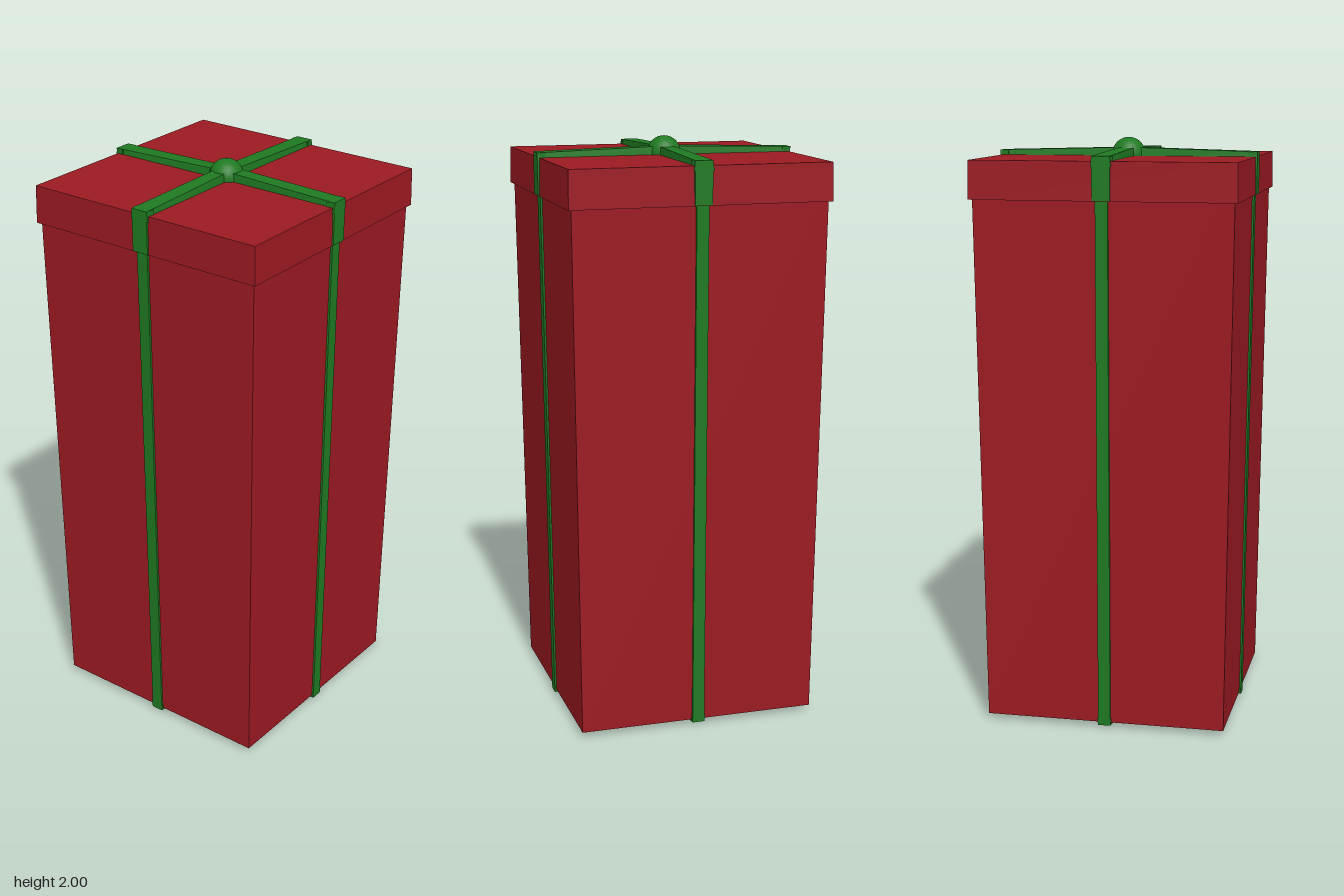
import * as THREE from 'three';

const red = new THREE.MeshStandardMaterial({ color: 0x9c1a22, flatShading: true });
const green = new THREE.MeshStandardMaterial({ color: 0x1f7a22, flatShading: true });
const knotGreen = new THREE.MeshStandardMaterial({ color: 0x1f7a22 });

// Box whose corners are placed by a rule; the signs sx, sy, sz are -1 or 1
function block(name, material, place) {
  const geometry = new THREE.BoxGeometry(2, 2, 2);
  const p = geometry.attributes.position;
  for (let i = 0; i < p.count; i++) p.setXYZ(i, ...place(p.getX(i), p.getY(i), p.getZ(i)));
  geometry.computeVertexNormals();
  const mesh = new THREE.Mesh(geometry, material);
  mesh.name = name;
  return mesh;
}

// Square block with different half widths at the bottom and the top
function taperedBox(name, y0, y1, half0, half1) {
  return block(name, red, (sx, sy, sz) => {
    const h = sy < 0 ? half0 : half1;
    return [sx * h, sy < 0 ? y0 : y1, sz * h];
  });
}

// Upright strip on the +z face, bevelled towards its outer side
function sideStrip(name, y0, y1, z0, z1, half) {
  return block(name, green, (sx, sy, sz) => [
    sx * (sz > 0 ? half - 0.004 : half),
    sy < 0 ? y0 : y1,
    (sy < 0 ? z0 : z1) - (sz < 0 ? 0.03 : 0),
  ]);
}

// Flat strip running from the middle to the +z edge
function flatStrip(name, inner, outer, base, zEnd, halfInner, halfOuter) {
  const up = inner > base ? 1 : -1;
  return block(name, green, (sx, sy, sz) => {
    const exposed = sy === up;
    const half = (sz < 0 ? halfInner : halfOuter) - (exposed ? 0.004 : 0);
    const y = exposed ? (sz < 0 ? inner : outer) : base;
    return [sx * half, y, sz < 0 ? 0 : zEnd];
  });
}

export function createModel() {
  const model = new THREE.Group();
  model.name = 'giftBox';
  const box = new THREE.Group();
  box.name = 'turnedBox';
  box.rotation.y = -0.433;
  model.add(box);

  // Tapered body and overhanging lid
  box.add(taperedBox('body', 0.018, 1.9, 0.414, 0.437));
  box.add(taperedBox('lid', 1.808, 1.937, 0.4475, 0.4455));

  // The same ribbon run on each of the four sides
  for (let i = 0; i < 4; i++) {
    const ribbon = new THREE.Group();
    ribbon.name = 'ribbon' + (i + 1);
    ribbon.rotation.y = i * Math.PI / 2;
    ribbon.add(
      sideStrip('bodyRibbon', 0.008, 1.85, 0.42, 0.443, 0.025),
      sideStrip('lidRibbon', 1.81, 1.954, 0.4515, 0.4525, 0.034),
      flatStrip('topRibbon', 1.966, 1.954, 1.92, 0.4515, 0.029, 0.034),
      flatStrip('bottomRibbon', 0, 0.008, 0.03, 0.42, 0.025, 0.025),
    );
    box.add(ribbon);
  }

  // Round knot where the ribbons cross
  const knot = new THREE.Mesh(new THREE.SphereGeometry(0.058, 24, 16), knotGreen);
  knot.name = 'knot';
  knot.position.y = 1.942;
  box.add(knot);

  return model;
}
